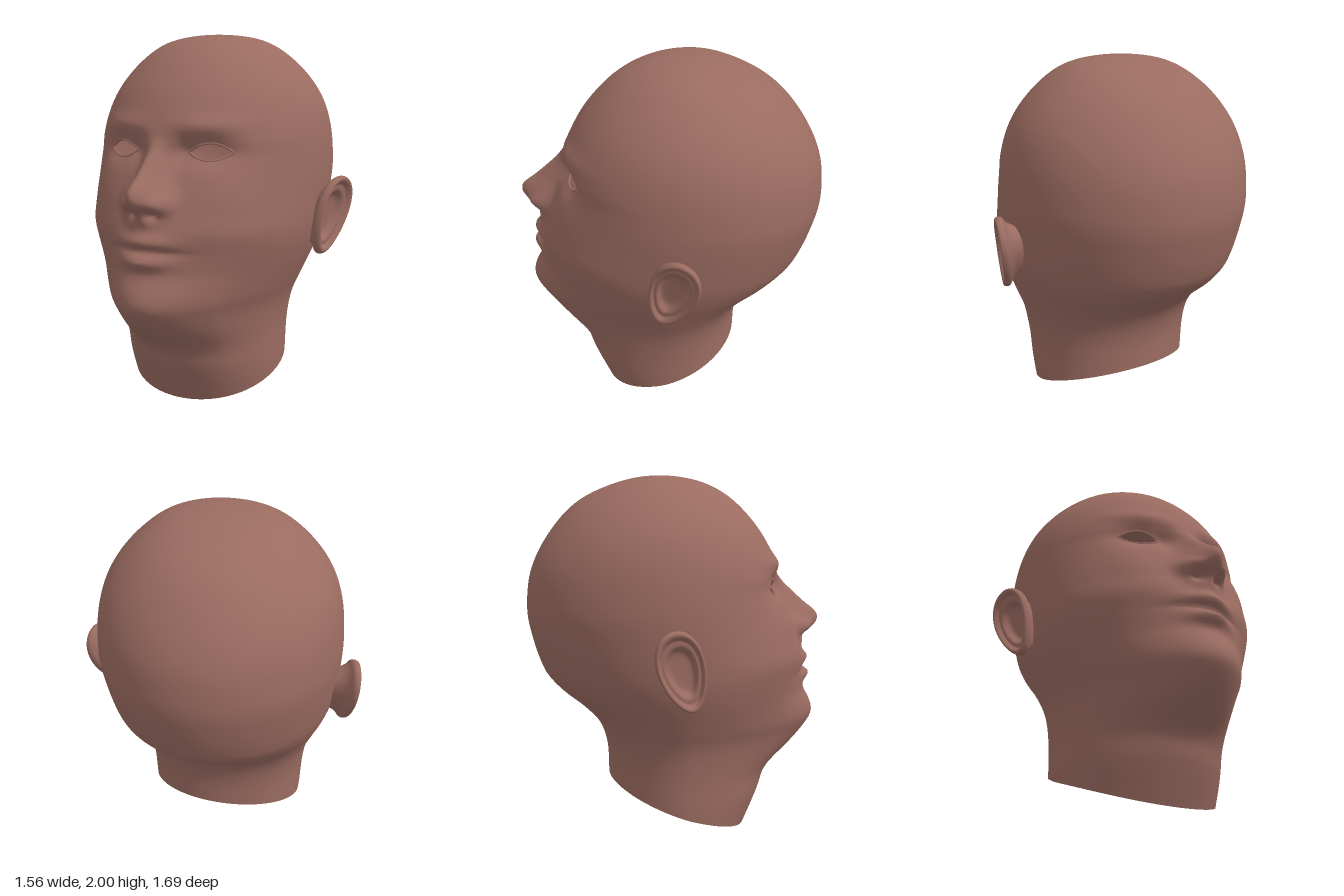
import * as THREE from 'three';

// Smooth curve through [y, value] pairs (descending y), eased so the crown closes as a round dome
const key = y => Math.sqrt(Math.max(0, 2 - y));
function curve(pts) {
  const k = pts.map(p => key(p[0])), v = pts.map(p => p[1]), n = k.length;
  const slope = i => {
    const a = Math.max(0, i - 1), b = Math.min(n - 1, i + 1);
    return (v[b] - v[a]) / (k[b] - k[a]);
  };
  return y => {
    const s = Math.min(Math.max(key(y), k[0]), k[n - 1]);
    let i = 0;
    while (i < n - 2 && s > k[i + 1]) i++;
    const d = k[i + 1] - k[i], t = (s - k[i]) / d, t2 = t * t, t3 = t2 * t;
    return (2 * t3 - 3 * t2 + 1) * v[i] + (t3 - 2 * t2 + t) * d * slope(i)
      + (3 * t2 - 2 * t3) * v[i + 1] + (t3 - t2) * d * slope(i + 1);
  };
}

// Head profiles over height
const front = curve([[2, -0.1], [1.97, 0.12], [1.9, 0.27], [1.76, 0.42], [1.68, 0.48], [1.58, 0.535],
  [1.45, 0.585], [1.38, 0.59], [1.25, 0.63], [1.1, 0.69], [1, 0.72], [0.9, 0.69], [0.8, 0.66],
  [0.64, 0.62], [0.57, 0.58], [0.47, 0.55], [0.36, 0.52], [0.22, 0.49], [0, 0.39]]);
const back = curve([[2, -0.1], [1.96, -0.34], [1.86, -0.55], [1.69, -0.71], [1.5, -0.81], [1.32, -0.84],
  [1.18, -0.83], [0.945, -0.76], [0.84, -0.68], [0.73, -0.55], [0.63, -0.46], [0.49, -0.41], [0.3, -0.4], [0, -0.4]]);
const width = curve([[2, 0], [1.97, 0.25], [1.86, 0.43], [1.69, 0.57], [1.53, 0.63], [1.32, 0.655],
  [1.15, 0.65], [0.95, 0.63], [0.82, 0.595], [0.68, 0.54], [0.55, 0.49], [0.39, 0.465], [0.17, 0.455], [0, 0.44]]);
const middle = curve([[2, -0.1], [1.3, -0.12], [0.9, -0.03], [0.5, 0], [0, 0]]);

// Heights and widths of the nose and chin
const noseOut = curve([[1.52, 0], [1.45, 0.012], [1.37, 0.08], [1.29, 0.145], [1.225, 0.2], [1.17, 0.18],
  [1.1, 0.08], [1.066, 0.055], [1, 0.015], [0.95, 0]]);
const noseWide = curve([[1.52, 0.06], [1.42, 0.05], [1.3, 0.062], [1.2, 0.085], [1.08, 0.09], [0.95, 0.06]]);
const chinOut = curve([[1.1, 0], [1, 0.01], [0.9, 0.045], [0.8, 0.095], [0.7, 0.17], [0.64, 0.2], [0.57, 0.205],
  [0.47, 0.14], [0.36, 0.035], [0.28, 0], [0, 0]]);
const bump = (dx, dy, sx, sy) => Math.exp(-((dx / sx) ** 2) - (dy / sy) ** 2);

// Relief of the face
function relief(x, y) {
  const ax = Math.abs(x), mouthY = y - 0.92 + 0.25 * x * x;
  let z = noseOut(y) * Math.exp(-((ax / noseWide(y)) ** 2));
  z += chinOut(y) * Math.exp(-((ax / 0.32) ** 2));
  z += 0.06 * bump(ax - 0.1, y - 1.155, 0.045, 0.05);     // nose wings
  z -= 0.035 * bump(ax - 0.055, y - 1.1, 0.03, 0.022);    // nostrils
  z -= 0.055 * bump(ax - 0.25, y - 1.4, 0.13, 0.075);     // eye sockets
  z -= 0.03 * bump(ax - 0.125, y - 1.4, 0.05, 0.07);      // inner eye corners
  z += 0.022 * bump(ax - 0.25, y - 1.53, 0.16, 0.05);     // brows
  z += 0.02 * bump(ax - 0.36, y - 1.2, 0.14, 0.12);       // cheeks
  z += 0.05 * bump(x, mouthY - 0.045, 0.14, 0.037);       // upper lip
  z += 0.06 * bump(x, mouthY + 0.052, 0.125, 0.038);      // lower lip
  z -= 0.02 * bump(x, mouthY, 0.18, 0.012);               // mouth line
  z -= 0.006 * bump(x, y - 1.05, 0.025, 0.04);            // groove above the lip
  return z;
}

function frontZ(x, y) {
  const r = Math.min(1, Math.abs(x) / Math.max(width(y), 1e-6)), c = Math.sqrt(1 - r * r), m = middle(y);
  return m + (front(y) - m) * c + relief(x, y) * Math.min(1, 1.6 * c * c);
}

// Almond eye opening: half height at a distance from the eye's middle
const EYE = { x: 0.255, y: 1.395, half: 0.105 };
const lid = (d, up) => (up ? 0.046 : -0.042) * (1 - d * d);

function buildHead() {
  const rows = 200, cols = 240, pos = [], index = [];
  for (let i = 0; i <= rows; i++) {
    const s = Math.SQRT2 * i / rows, level = 2 - s * s;
    for (let j = 0; j < cols; j++) {
      const t = j / cols * Math.PI * 2, a = t - 0.35 * Math.sin(t);
      const sn = Math.sin(a), cs = Math.cos(a);
      const reach = y => (cs > 0 ? front(y) : -back(y)) + (cs > 0 ? -middle(y) : middle(y));
      let y = level;
      // slanted neck cut
      if (y < 0.6) y += (0.15 - 0.375 * (middle(y) + reach(y) * cs)) * (1 - y / 0.6);
      y = Math.max(0, y);
      const x = width(y) * sn;
      const d = (Math.abs(x) - EYE.x) / EYE.half;
      // pull nearby points onto the lid line
      if (cs > 0 && Math.abs(d) < 1) {
        for (const up of [true, false]) {
          const edge = EYE.y + lid(d, up);
          if (Math.abs(y - edge) < 0.0058) { y = edge; break; }
        }
      }
      pos.push(x, y, cs > 0 ? frontZ(x, y) : middle(y) + reach(y) * cs);
    }
  }
  const open = ids => {
    const mean = k => ids.reduce((sum, v) => sum + (k ? pos[v * 3 + k] : Math.abs(pos[v * 3])), 0) / 3;
    const d = (mean(0) - EYE.x) / EYE.half, dy = mean(1) - EYE.y;
    return mean(2) > 0 && Math.abs(d) < 1 && dy < lid(d, true) && dy > lid(d, false);
  };
  for (let i = 0; i < rows; i++) {
    for (let j = 0; j < cols; j++) {
      const k = (j + 1) % cols, a = i * cols + j, b = a + cols, c = (i + 1) * cols + k, e = i * cols + k;
      for (const tri of [[a, b, c], [a, c, e]]) if (!open(tri)) index.push(...tri);
    }
  }
  return finish(pos, index);
}

function finish(pos, index) {
  const g = new THREE.BufferGeometry();
  g.setAttribute('position', new THREE.Float32BufferAttribute(pos, 3));
  g.setIndex(index);
  g.computeVertexNormals();
  return g;
}

// Ear: loops running from the hollow, over the rim, and back into the head
function buildEar() {
  const loops = [[0.001, -0.035], [0.3, -0.035], [0.5, -0.028], [0.62, -0.002], [0.7, 0.002], [0.78, 0.002],
    [0.85, 0.018], [0.92, 0.024], [0.98, 0.016], [1, 0], [0.97, -0.015], [0.86, -0.03], [0.72, -0.07], [0.62, -0.15]];
  const path = new THREE.CatmullRomCurve3(loops.map(p => new THREE.Vector3(p[0], p[1], 0)));
  const rows = 40, cols = 64, pos = [], index = [];
  for (let i = 0; i <= rows; i++) {
    const p = path.getPoint(i / rows);
    for (let j = 0; j < cols; j++) {
      const t = j / cols * Math.PI * 2, sn = Math.sin(t);
      const u = Math.cos(t) * 0.122 * (1 + 0.22 * sn) * p.x, v = sn * 0.22 * p.x;
      const tilt = 0.33, y = 1.022 + v * Math.cos(tilt) - u * Math.sin(tilt);
      const z = -0.085 - u * Math.cos(tilt) - v * Math.sin(tilt);
      pos.push(0.645 + 0.31 * (0.04 - z) + 0.1 * (y - 0.82) + p.y, y, z);
    }
  }
  for (let i = 0; i < rows; i++) {
    for (let j = 0; j < cols; j++) {
      const k = (j + 1) % cols, a = i * cols + j, b = a + cols, c = (i + 1) * cols + k, e = i * cols + k;
      index.push(a, b, c, a, c, e);
    }
  }
  return finish(pos, index);
}

// Thin rim around the eye opening
function buildEyelid() {
  const pts = [], n = 32;
  for (let i = 0; i < n; i++) {
    const t = i / n * Math.PI * 2, d = Math.cos(t);
    const x = EYE.x + EYE.half * d, y = EYE.y + lid(d, t < Math.PI);
    pts.push(new THREE.Vector3(x, y, frontZ(x, y) - 0.002));
  }
  return new THREE.TubeGeometry(new THREE.CatmullRomCurve3(pts, true), 96, 0.007, 8, true);
}

export function createModel() {
  const skin = new THREE.MeshStandardMaterial({ color: 0x9b6c61, side: THREE.DoubleSide });
  skin.name = 'skin';
  const model = new THREE.Group();
  model.name = 'head';
  const add = (name, geometry, mirror = 1) => {
    const mesh = new THREE.Mesh(geometry, skin);
    mesh.name = name;
    mesh.scale.x = mirror;
    model.add(mesh);
  };
  add('headAndNeck', buildHead());
  const ear = buildEar(), eyelid = buildEyelid();
  for (const [side, mirror] of [['left', 1], ['right', -1]]) {
    add(side + 'Ear', ear, mirror);
    add(side + 'Eyelid', eyelid, mirror);
  }
  return model;
}
